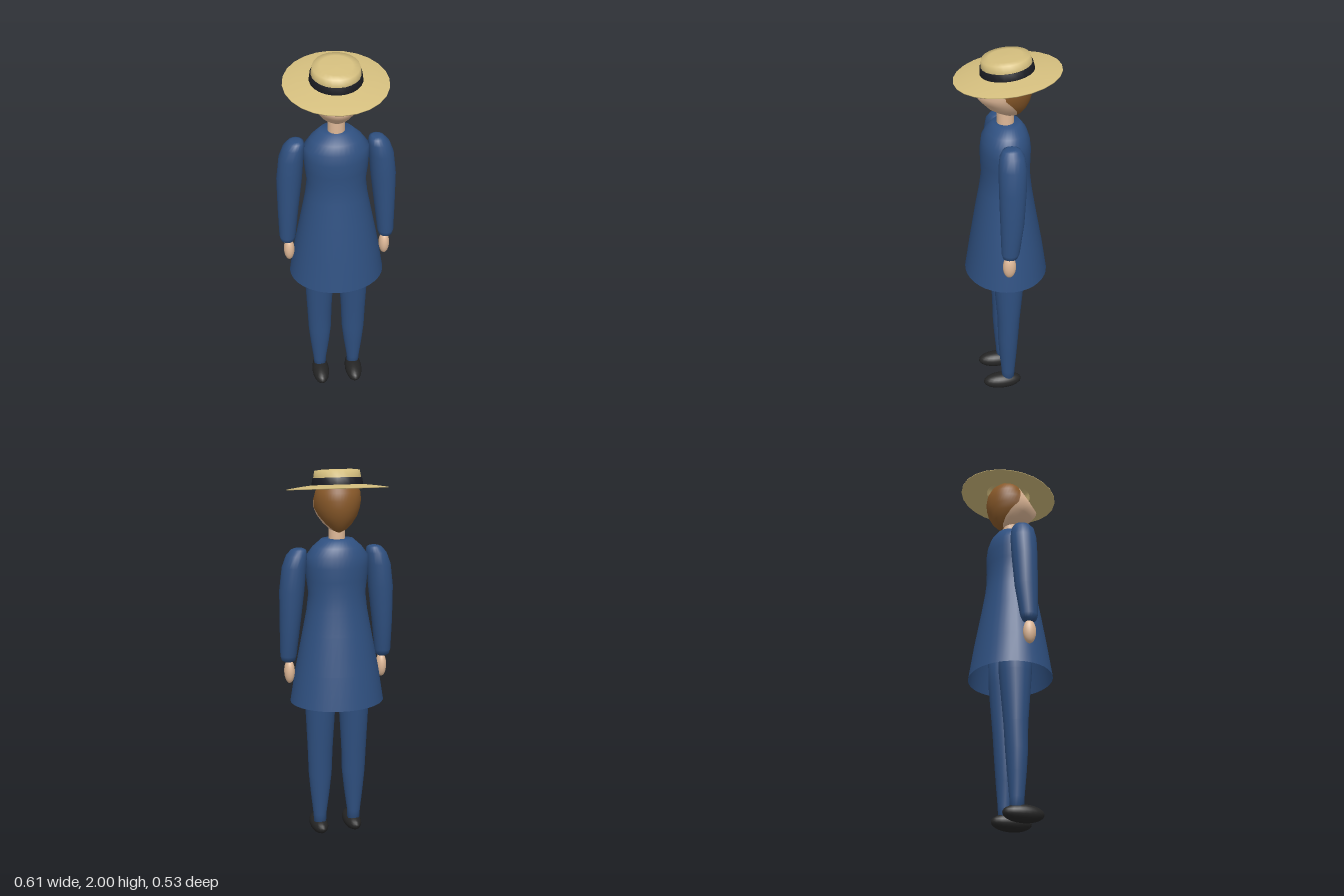
import * as THREE from 'three';

const mat = (name, color, side = THREE.FrontSide) => {
  const m = new THREE.MeshStandardMaterial({ color, side });
  m.name = name;
  return m;
};

// Smooth skin through cross-sections [y, xMin, xMax, zMin, zMax], listed bottom to top.
// range(y) gives the start and end angle (0 = front, towards +x); omit it for a closed ring.
function loft(rows, { seg = 28, range = null, caps = false, point = 0 } = {}) {
  const pos = [], idx = [];
  const cols = range ? seg + 1 : seg;
  rows.forEach(([y, x0, x1, z0, z1]) => {
    const [a0, a1] = range ? range(y) : [0, Math.PI * 2];
    for (let i = 0; i < cols; i++) {
      const a = a0 + (a1 - a0) * i / seg, c = Math.cos(a);
      const front = c > 0 ? c * (1 - point) + point * c ** 6 : c;
      pos.push((x0 + x1) / 2 + Math.sin(a) * (x1 - x0) / 2, y, (z0 + z1) / 2 + front * (z1 - z0) / 2);
    }
  });
  for (let j = 0; j < rows.length - 1; j++) {
    for (let i = 0; i < seg; i++) {
      const k = (i + 1) % cols;
      const a = j * cols + i, b = j * cols + k, c = b + cols, d = a + cols;
      idx.push(a, b, c, a, c, d);
    }
  }
  if (caps) {
    const last = rows.length - 1;
    for (const j of caps === 'top' ? [last] : [0, last]) {
      const [y, x0, x1, z0, z1] = rows[j];
      const mid = pos.length / 3;
      pos.push((x0 + x1) / 2, y, (z0 + z1) / 2);
      for (let i = 0; i < seg; i++) {
        const a = j * cols + i, b = j * cols + (i + 1) % cols;
        if (j) idx.push(a, b, mid); else idx.push(b, a, mid);
      }
    }
  }
  const g = new THREE.BufferGeometry();
  g.setAttribute('position', new THREE.Float32BufferAttribute(pos, 3));
  g.setIndex(idx);
  g.computeVertexNormals();
  return g;
}

// Sections symmetric in x
const sym = rows => rows.map(([y, r, z0, z1]) => [y, -r, r, z0, z1]);

export function createModel() {
  const model = new THREE.Group();
  const cloth = mat('blue cloth', 0x2f5080, THREE.DoubleSide);
  const skin = mat('skin', 0xe0b998);
  const hair = mat('brown hair', 0x8a5a2a);
  const straw = mat('straw', 0xd4be7e, THREE.DoubleSide);
  const black = mat('black leather', 0x252525);
  const ribbon = mat('dark ribbon', 0x1c1d24);

  const add = (parent, name, geometry, material) => {
    const m = new THREE.Mesh(geometry, material);
    m.name = name;
    parent.add(m);
    return m;
  };
  const ellipsoid = (rx, ry, rz, x, y, z) =>
    new THREE.SphereGeometry(1, 20, 14).scale(rx, ry, rz).translate(x, y, z);

  // Flared coat, open at the hem
  add(model, 'coat', loft(sym([
    [0.775, 0.25, -0.205, 0.23],
    [0.95, 0.222, -0.178, 0.203],
    [1.15, 0.183, -0.142, 0.17],
    [1.27, 0.16, -0.122, 0.148],
    [1.36, 0.15, -0.112, 0.136],
    [1.43, 0.159, -0.113, 0.14],
    [1.5, 0.164, -0.115, 0.14],
    [1.555, 0.162, -0.108, 0.132],
    [1.6, 0.128, -0.093, 0.11],
    [1.64, 0.082, -0.065, 0.075],
  ]), { seg: 36, caps: 'top' }), cloth);

  // Neck
  add(model, 'neck', new THREE.CylinderGeometry(0.043, 0.043, 0.12, 20).translate(0, 1.67, 0.012), skin);

  // Head split along a sloping hairline into face and hair
  const headRows = sym([
    [1.675, 0.008, -0.04, 0.01],
    [1.69, 0.042, -0.065, 0.045],
    [1.72, 0.075, -0.09, 0.095],
    [1.76, 0.103, -0.11, 0.135],
    [1.8, 0.118, -0.12, 0.165],
    [1.84, 0.121, -0.121, 0.135],
    [1.88, 0.114, -0.115, 0.105],
    [1.92, 0.095, -0.095, 0.078],
    [1.95, 0.06, -0.06, 0.045],
    [1.965, 0.005, -0.005, 0.005],
  ]);
  const hairline = y => THREE.MathUtils.clamp(2.15 - (y - 1.69) * 5.6, 0.9, 2.15);
  const head = new THREE.Group();
  head.name = 'head';
  model.add(head);
  add(head, 'face', loft(headRows, { range: y => [-hairline(y), hairline(y)], point: 0.12 }), skin);
  add(head, 'hair', loft(headRows, { range: y => [hairline(y), Math.PI * 2 - hairline(y)], point: 0.12 }), hair);

  // Tilted straw hat
  const hat = new THREE.Group();
  hat.name = 'hat';
  hat.position.y = 1.89;
  hat.rotation.x = 0.113;
  hat.scale.z = 1.035;
  model.add(hat);
  const lathe = pts => new THREE.LatheGeometry(pts.map(p => new THREE.Vector2(...p)), 24);
  add(hat, 'brim', lathe([[0.12, 0.022], [0.19, 0.014], [0.257, 0.004], [0.257, 0], [0.12, 0.014]]), straw);
  add(hat, 'crown', lathe([[0.127, 0.016], [0.12, 0.06], [0.114, 0.093], [0.08, 0.097], [0.001, 0.099]]), straw);
  add(hat, 'hatBand', lathe([[0.125, 0.02], [0.13, 0.02], [0.125, 0.056], [0.118, 0.056]]), ribbon);

  // Limbs, mirrored left and right
  const armRows = [
    [0.995, 0.235, 0.278, 0.015, 0.055],
    [1.005, 0.222, 0.293, -0.005, 0.07],
    [1.03, 0.215, 0.3, -0.015, 0.077],
    [1.2, 0.195, 0.303, -0.04, 0.081],
    [1.38, 0.173, 0.303, -0.052, 0.085],
    [1.5, 0.163, 0.288, -0.055, 0.085],
    [1.56, 0.158, 0.265, -0.045, 0.077],
    [1.588, 0.162, 0.24, -0.028, 0.06],
    [1.595, 0.175, 0.225, -0.01, 0.04],
  ];
  const legRows = [
    [0.06, 0.062, 0.128, -0.02, 0.05],
    [0.12, 0.06, 0.132, -0.022, 0.052],
    [0.25, 0.042, 0.147, -0.033, 0.064],
    [0.36, 0.03, 0.157, -0.041, 0.071],
    [0.5, 0.026, 0.162, -0.05, 0.073],
    [0.775, 0.01, 0.174, -0.075, 0.095],
    [0.95, 0.005, 0.17, -0.08, 0.1],
  ];
  for (const [side, s] of [['left', 1], ['right', -1]]) {
    const mirror = rows => rows.map(([y, a, b, z0, z1]) => s > 0 ? [y, a, b, z0, z1] : [y, -b, -a, z0, z1]);
    add(model, side + 'Sleeve', loft(mirror(armRows), { seg: 20, caps: true }), cloth);
    add(model, side + 'Hand', ellipsoid(0.028, 0.065, 0.034, s * 0.252, 0.942, 0.035), skin);
    add(model, side + 'Leg', loft(mirror(legRows), { seg: 20, caps: true }), cloth);
    add(model, side + 'Shoe', ellipsoid(0.048, 0.045, 0.107, s * 0.095, 0.045, 0.048), black);
  }
  return model;
}
